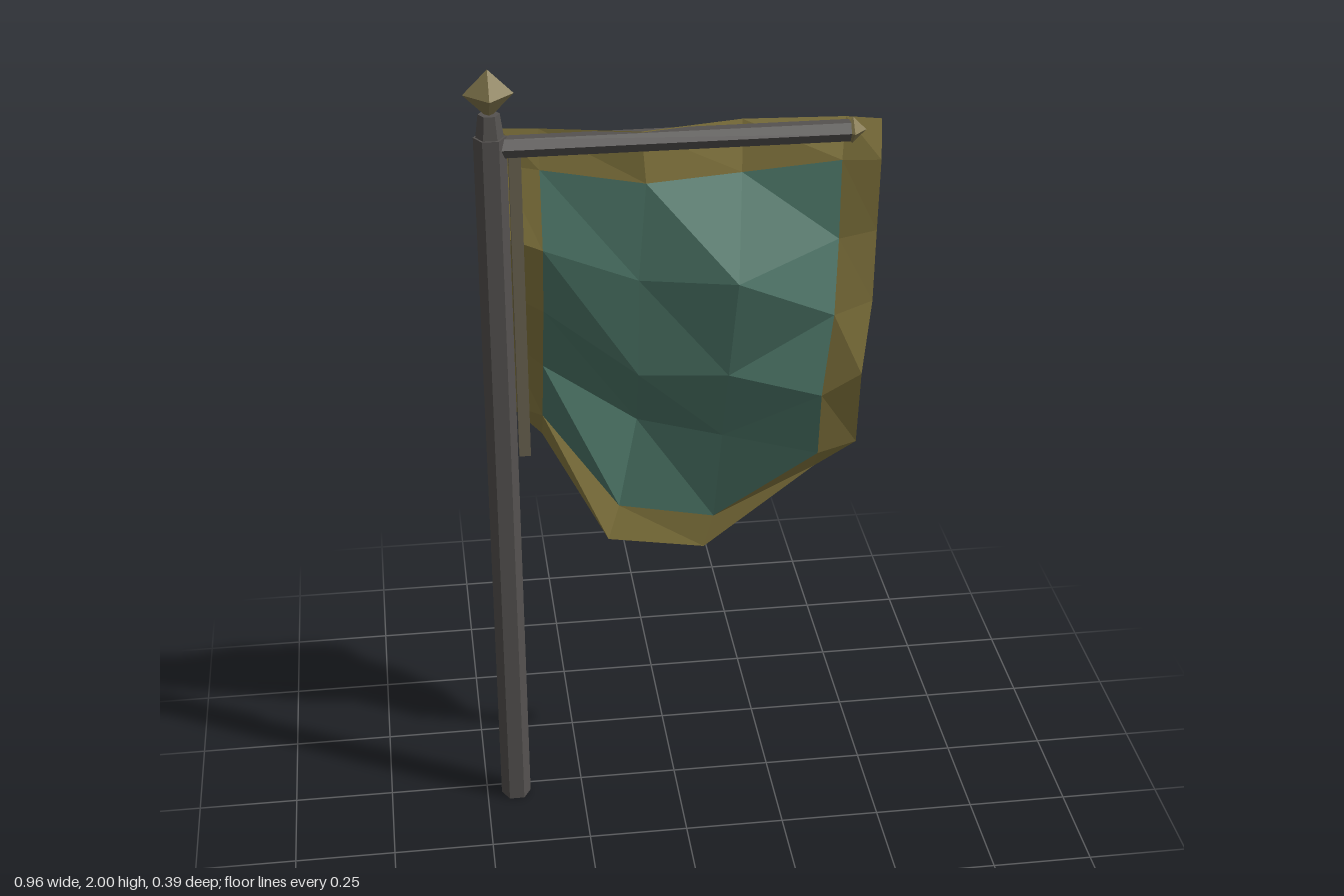
import * as THREE from 'three';

const mat = (color, extra = {}) =>
  new THREE.MeshStandardMaterial({ color, flatShading: true, ...extra });

export function createModel() {
  const group = new THREE.Group();
  const iron = mat(0x555250);
  const brass = mat(0x85794f);
  const add = (name, geo, material, x, y, z) => {
    const mesh = new THREE.Mesh(geo, material);
    mesh.name = name;
    mesh.position.set(x, y, z);
    group.add(mesh);
    return mesh;
  };

  // Upright pole with tapered cap and finial
  const px = -0.425, pz = 0.033;
  add('pole', new THREE.CylinderGeometry(0.038, 0.038, 1.84, 6), iron, px, 0.92, pz)
    .rotation.y = Math.PI / 6;
  add('poleCap', new THREE.CylinderGeometry(0.025, 0.033, 0.06, 6), iron, px, 1.865, pz)
    .rotation.y = Math.PI / 6;
  add('finial', new THREE.OctahedronGeometry(0.058), brass, px, 1.942, pz);

  // Cross bar with small end knob
  add('crossBar', new THREE.CylinderGeometry(0.026, 0.026, 0.81, 6), iron, 0, 1.813, 0.03)
    .rotation.z = Math.PI / 2;
  add('barKnob', new THREE.OctahedronGeometry(0.032), brass, 0.412, 1.813, 0.03);

  // Slim batten beside the pole
  add('batten', new THREE.BoxGeometry(0.028, 0.8, 0.02), mat(0x6b6452), -0.37, 1.41, 0.025);

  // Cloth rows: heights [outer, side, middle], x of columns 2-5, depth of all columns
  const rows = [
    [[1.838, 1.838, 1.838], [-0.08, 0.16, 0.4, 0.48], [-0.02, -0.01, 0.04, -0.01, 0.005, 0.03]],
    [[1.75, 1.74, 1.71], [-0.07, 0.16, 0.39, 0.475], [-0.02, 0, 0.04, 0, 0.03, 0.065]],
    [[1.58, 1.55, 1.47], [-0.09, 0.14, 0.385, 0.468], [0.01, 0.03, 0.05, 0.105, 0.05, 0.08]],
    [[1.42, 1.375, 1.21], [-0.09, 0.125, 0.37, 0.455], [-0.03, -0.01, 0.03, 0.06, 0.1, 0.125]],
    [[1.265, 1.19, 1.015], [-0.08, 0.12, 0.335, 0.42], [-0.11, -0.09, -0.11, 0, 0.155, 0.198]],
    [[1.055, 1.02, 0.785], [-0.13, 0.1, 0.335, 0.425], [-0.16, -0.15, -0.08, 0, 0.13, 0.145]],
    [[1.055, 0.945, 0.7], [-0.16, 0.075, 0.34, 0.425], [-0.16, -0.195, -0.06, 0.005, 0.06, 0.145]],
  ];
  const grid = rows.map(([[outer, side, mid], xs, depth]) => {
    const ys = [outer, side, mid, mid, side, outer];
    return [-0.4, -0.312, ...xs].map((x, c) => new THREE.Vector3(x, ys[c], depth[c]));
  });

  // Two triangles per cell: outer ring is trim, the rest is field
  const trim = [], field = [];
  const tri = (list, ...pts) => {
    if (new THREE.Triangle(...pts).getArea() > 1e-6) {
      pts.forEach(p => list.push(p.x, p.y, p.z));
    }
  };
  for (let r = 0; r < 6; r++) {
    for (let c = 0; c < 5; c++) {
      const a = grid[r][c], b = grid[r][c + 1];
      const d = grid[r + 1][c], e = grid[r + 1][c + 1];
      const list = r === 0 || r === 5 || c === 0 || c === 4 ? trim : field;
      tri(list, a, d, e);
      tri(list, a, e, b);
    }
  }
  const cloth = (name, list, color) => {
    const geo = new THREE.BufferGeometry();
    geo.setAttribute('position', new THREE.Float32BufferAttribute(list, 3));
    geo.computeVertexNormals();
    add(name, geo, mat(color, { side: THREE.DoubleSide }), 0, 0, 0);
  };
  cloth('bannerTrim', trim, 0x8b7d42);
  cloth('bannerField', field, 0x507b6c);

  return group;
}
